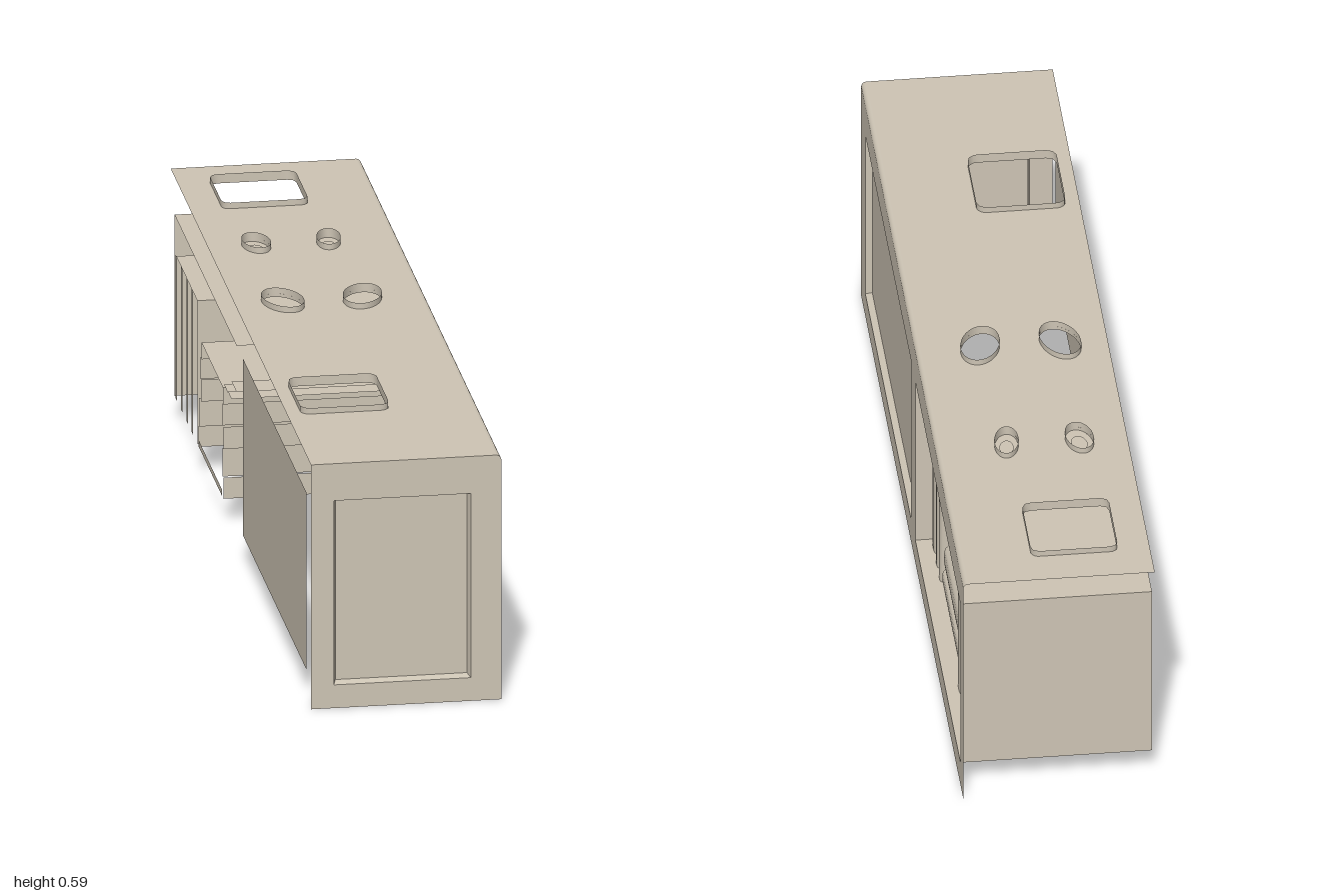
import * as THREE from 'three';

const mat = new THREE.MeshStandardMaterial({ color: 0xcdc4b4, side: THREE.DoubleSide });
const X0 = -0.217, X1 = 0.214, H = 0.58, R = 0.012; // carcass width, height, edge radius

function add(parent, name, geo, x = 0, y = 0, z = 0, ry = 0) {
  const m = new THREE.Mesh(geo, mat);
  m.name = name;
  m.position.set(x, y, z);
  m.rotation.y = ry;
  parent.add(m);
  return m;
}

// Rectangle outline, optionally rounded
function rect(x0, y0, x1, y1, r = 0, T = THREE.Path) {
  const p = new T();
  p.moveTo(x0 + r, y0).lineTo(x1 - r, y0);
  if (r) p.absarc(x1 - r, y0 + r, r, -Math.PI / 2, 0);
  p.lineTo(x1, y1 - r);
  if (r) p.absarc(x1 - r, y1 - r, r, 0, Math.PI / 2);
  p.lineTo(x0 + r, y1);
  if (r) p.absarc(x0 + r, y1 - r, r, Math.PI / 2, Math.PI);
  p.lineTo(x0, y0 + r);
  if (r) p.absarc(x0 + r, y0 + r, r, Math.PI, Math.PI * 1.5);
  return p;
}

function ellipse(x, y, rx, ry, tilt, T = THREE.Path) {
  const p = new T();
  p.absellipse(x, y, rx, ry, 0, Math.PI * 2, false, tilt);
  return p;
}

// Sloping lips of a rectangular recess, with or without its sunken panel
function recess(x0, y0, x1, y1, depth, inset, panel) {
  const pts = [];
  for (const [i, z] of [[0, 0], [inset, -depth]])
    pts.push(x0 + i, y0 + i, z, x1 - i, y0 + i, z, x1 - i, y1 - i, z, x0 + i, y1 - i, z);
  const idx = [];
  for (let i = 0; i < 4; i++) {
    const j = (i + 1) % 4;
    idx.push(i, j, 4 + j, i, 4 + j, 4 + i);
  }
  if (panel) idx.push(4, 5, 6, 4, 6, 7);
  let g = new THREE.BufferGeometry();
  g.setAttribute('position', new THREE.Float32BufferAttribute(pts, 3));
  g.setIndex(idx);
  g = g.toNonIndexed();
  g.computeVertexNormals();
  return g;
}

// Hollow book: chosen box sides only (0 spine, 2 top, 4 +z side, 5 -z side), with a rounded spine
function book(parent, name, [x0, x1], [y0, y1], [z0, z1], sides, bulge, lying) {
  const w = x1 - x0, h = y1 - y0, d = z1 - z0;
  const g = new THREE.BoxGeometry(w, h, d, 1, lying ? 8 : 1, lying ? 1 : 8);
  const p = g.attributes.position;
  for (let i = 0; i < p.count; i++) {
    if (p.getX(i) < 0) continue;
    const t = 2 * (lying ? p.getY(i) / h : p.getZ(i) / d);
    p.setX(i, w / 2 - bulge * t ** 4);
  }
  const all = Array.from(g.index.array);
  g.setIndex(sides.flatMap(s => all.slice(g.groups[s].start, g.groups[s].start + g.groups[s].count)));
  g.clearGroups();
  g.computeVertexNormals();
  add(parent, name, g, (x0 + x1) / 2, (y0 + y1) / 2, (z0 + z1) / 2);
}

export function createModel() {
  const root = new THREE.Group();
  root.name = 'bookshelfBench';

  // Long side: recessed panel and open shelf (local x runs towards -z)
  const facade = rect(-1, 0, 1, H - R, 0, THREE.Shape);
  facade.holes.push(rect(-0.92, 0.06, -0.02, 0.49), rect(0.06, 0.06, 0.945, 0.49));
  add(root, 'longSide', new THREE.ShapeGeometry(facade), X1, 0, 0, Math.PI / 2);
  add(root, 'longSidePanel', recess(-0.92, 0.06, -0.02, 0.49, 0.015, 0.006, true), X1, 0, 0, Math.PI / 2);
  add(root, 'shelfOpeningLip', recess(0.06, 0.06, 0.945, 0.49, 0.06, 0, false), X1, 0, 0, Math.PI / 2);

  // Rounded long top edge
  const edge = new THREE.CylinderGeometry(R, R, 2, 6, 1, true, 0, Math.PI / 2);
  edge.rotateX(-Math.PI / 2);
  add(root, 'roundedTopEdge', edge, X1 - R, H - R, 0);

  // Front end with recessed panel
  const end = new THREE.Shape();
  end.moveTo(X0, 0).lineTo(X1, 0).lineTo(X1, H - R);
  end.absarc(X1 - R, H - R, R, 0, Math.PI / 2);
  end.lineTo(X0, H);
  end.holes.push(rect(-0.165, 0.055, 0.145, 0.492));
  add(root, 'frontEnd', new THREE.ShapeGeometry(end), 0, 0, 1);
  add(root, 'frontEndPanel', recess(-0.165, 0.055, 0.145, 0.492, 0.018, 0.006, true), 0, 0, 1);

  // Flat panel on the open long side
  add(root, 'rearPanel', new THREE.ShapeGeometry(rect(-0.92, 0.065, -0.01, 0.485, 0, THREE.Shape)), -0.214, 0, 0, Math.PI / 2);

  // Shelf compartment: end wall and ceiling
  add(root, 'shelfEndWall', new THREE.ShapeGeometry(rect(X0, 0.06, X1, 0.49, 0, THREE.Shape)), 0, 0, -0.945);
  const ceiling = new THREE.PlaneGeometry(X1 - X0, 0.885).rotateX(Math.PI / 2);
  add(root, 'shelfCeiling', ceiling, (X0 + X1) / 2, 0.49, -0.5025);

  // Top with its cut-outs (local y runs towards -z)
  const cutouts = [
    T => rect(-0.185, -0.665, 0.015, -0.455, 0.022, T),
    T => rect(-0.145, 0.715, 0.05, 0.908, 0.018, T),
  ];
  const ovals = [];
  for (const s of [-1, 1]) {
    ovals.push([-0.02 + s * 0.09, 0.075, 0.043, 0.068, -s * 0.28]);
    ovals.push([-0.027 + s * 0.082, 0.462, s < 0 ? 0.031 : 0.027, 0.053, s < 0 ? 0.12 : -0.12]);
  }
  ovals.forEach(o => cutouts.push(T => ellipse(...o, T)));

  const top = rect(X0, -1, X1 - R, 1, 0, THREE.Shape);
  cutouts.forEach(c => top.holes.push(c(THREE.Path)));
  add(root, 'top', new THREE.ShapeGeometry(top, 16).rotateX(-Math.PI / 2), 0, H, 0);

  // Raised rims: an upright wall following each cut-out
  cutouts.forEach(c => {
    const pts = c(THREE.Path).getSpacedPoints(48);
    const wall = new THREE.PlaneGeometry(1, 1, 48, 1);
    const p = wall.attributes.position;
    for (let i = 0; i < p.count; i++) {
      const q = pts[i % 49];
      p.setXYZ(i, q.x, i < 49 ? H + 0.014 : H - 0.008, -q.y);
    }
    wall.computeVertexNormals();
    add(root, 'cutoutRim', wall);
  });

  // Inner ledges of the two small ovals
  ovals.filter(o => o[1] > 0.4).forEach(([x, y, rx, ry, t]) => {
    const ring = ellipse(x, y, rx, ry, t, THREE.Shape);
    ring.holes.push(ellipse(x, y, rx * 0.55, ry * 0.5, t));
    add(root, 'smallOvalLedge', new THREE.ShapeGeometry(ring, 16).rotateX(-Math.PI / 2), 0, H - 0.008, 0);
  });

  // Upright books by the end wall: outer sides only, with narrow strips at the rear
  const books = new THREE.Group();
  books.name = 'books';
  root.add(books);
  const tall = [-0.92, -0.84, -0.765, -0.69, -0.62];
  for (let i = 0; i < 4; i++) {
    const sides = i === 3 ? [0, 2, 4] : [0, 2];
    book(books, 'tallBook', [X0, 0.185], [0.06, 0.4], [tall[i], tall[i + 1]], sides, 0.02, false);
    add(books, 'tallBookRearStrip', new THREE.PlaneGeometry(0.022, 0.34), X0, 0.23, tall[i], Math.PI / 2);
  }

  // Stack of lying books, hollow below the topmost cover
  const stack = [
    [0.06, 0.11, -0.6, -0.25, 0.175], [0.11, 0.178, -0.595, -0.258, 0.172], [0.178, 0.23, -0.57, -0.25, 0.16],
    [0.23, 0.282, -0.575, -0.262, 0.165], [0.282, 0.322, -0.56, -0.255, 0.155],
  ];
  stack.forEach(([y0, y1, z0, z1, x], i) =>
    book(books, 'lyingBook', [X0, x], [y0, y1], [z0, z1], i === 4 ? [0, 2, 4, 5] : [0, 4, 5], 0.012, true));
  add(books, 'stackRearStrip', new THREE.PlaneGeometry(0.33, 0.015), X0, 0.068, -0.43, Math.PI / 2);

  // Short upright books beside the divider
  for (const [z0, z1, h] of [[-0.13, -0.06, 0.38], [-0.185, -0.133, 0.338], [-0.24, -0.187, 0.335]])
    book(books, 'shortBook', [X0, 0.178], [0.06, h], [z0, z1], [0, 2], 0.018, false);

  return root;
}
